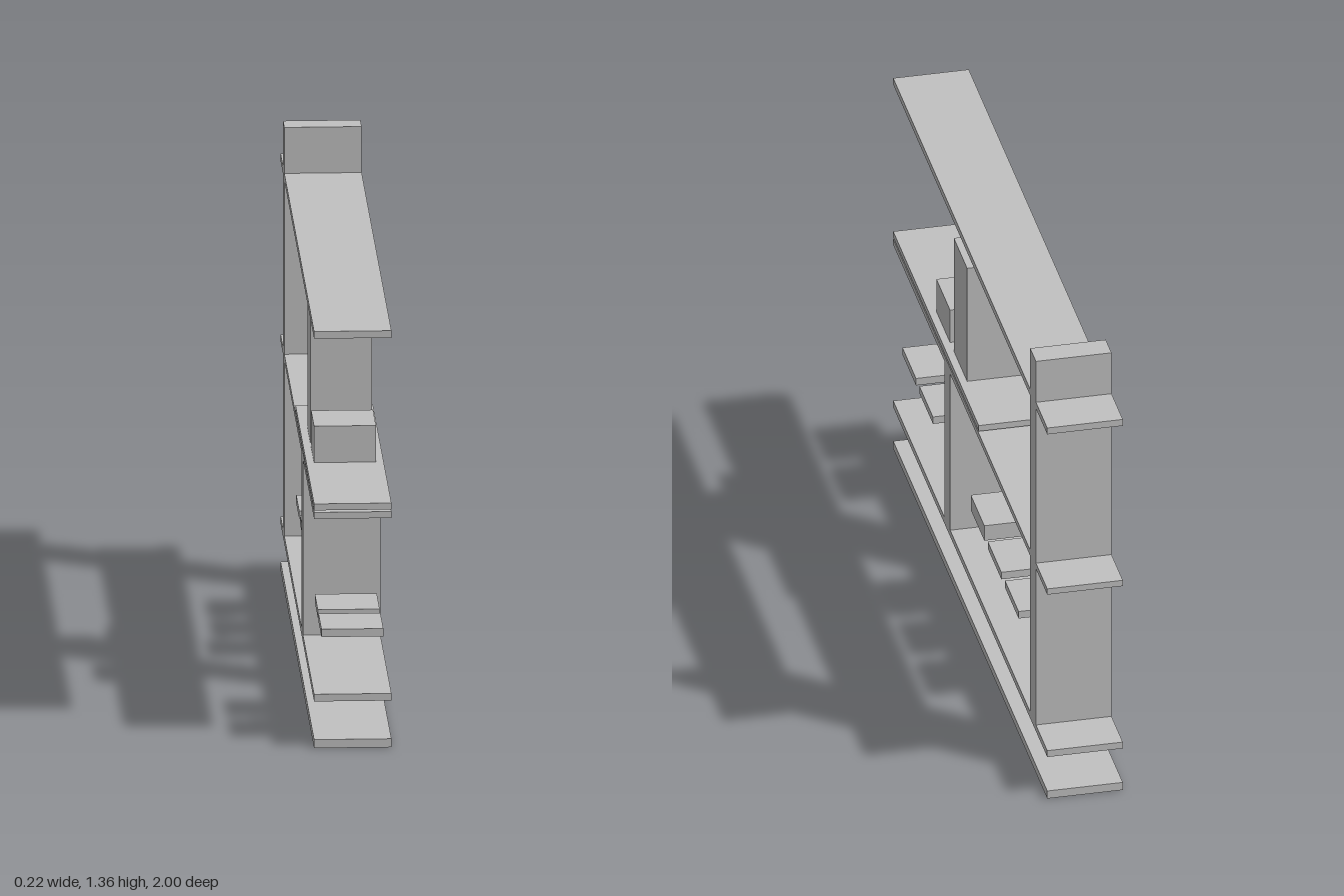
import * as THREE from 'three';

const HALF_WIDTH = 0.11;

export function createModel() {
  const model = new THREE.Group();
  model.name = 'shelfUnit';
  const grey = new THREE.MeshStandardMaterial({ color: 0xc0c0c0 });
  grey.name = 'plain grey';

  // Box given by its half width and its y and z ranges
  function box(name, halfWidth, y0, y1, z0, z1) {
    const mesh = new THREE.Mesh(new THREE.BoxGeometry(halfWidth * 2, y1 - y0, z1 - z0), grey);
    mesh.name = name;
    mesh.position.set(0, (y0 + y1) / 2, (z0 + z1) / 2);
    model.add(mesh);
  }

  // Frame: three shelves joined to a tall post, drawn as (z, y) side profile
  const shelves = [[0.137, 0.158], [0.673, 0.692], [1.202, 1.223]];
  const post = [-0.853, -0.778];
  const divider = [0.26, 0.335];
  const outline = [[post[0], 0.137], [-1, 0.137]];
  shelves.forEach(([low, high], i) => {
    if (i > 0) outline.push([post[0], low], [-1, low]);
    outline.push([-1, high], [post[0], high]);
  });
  outline.push([post[0], 1.358], [post[1], 1.358]);
  outline.push([post[1], 1.223], [1, 1.223], [1, 1.202], [post[1], 1.202]);
  outline.push([post[1], 0.692], [1, 0.692], [1, 0.673], [divider[1], 0.673]);
  outline.push([divider[1], 0.158], [1, 0.158], [1, 0.137]);
  const toPoints = (list) => list.map(([z, y]) => new THREE.Vector2(z, y));
  const profile = new THREE.Shape(toPoints(outline));

  // Opening between the tall post and the divider
  profile.holes.push(new THREE.Path(toPoints([
    [post[1], 0.158], [divider[0], 0.158], [divider[0], 0.673], [post[1], 0.673],
  ])));
  const frameGeometry = new THREE.ExtrudeGeometry(profile, { depth: HALF_WIDTH * 2, bevelEnabled: false });
  frameGeometry.rotateY(-Math.PI / 2).translate(HALF_WIDTH, 0, 0);
  const frame = new THREE.Mesh(frameGeometry, grey);
  frame.name = 'shelfFrame';
  model.add(frame);

  // Separate boards
  box('baseBoard', HALF_WIDTH, 0, 0.025, -1, 1);
  box('counterBoard', HALF_WIDTH, 0.698, 0.717, -0.11, 1);

  // Blocks standing on the middle shelf
  box('tallBlock', 0.088, 0.692, 1.09, 0.138, 0.311);
  box('shortBlock', 0.088, 0.692, 0.824, 0.36, 0.537);

  // Row of floating seat slabs, one of them thicker
  const slabs = [[0.89, 0.343], [0.67, 0.343], [0.003, 0.369], [-0.218, 0.343], [-0.442, 0.343]];
  slabs.forEach(([z, top], i) => box(`slab${i + 1}`, 0.088, 0.32, top, z - 0.088, z + 0.088));

  return model;
}
